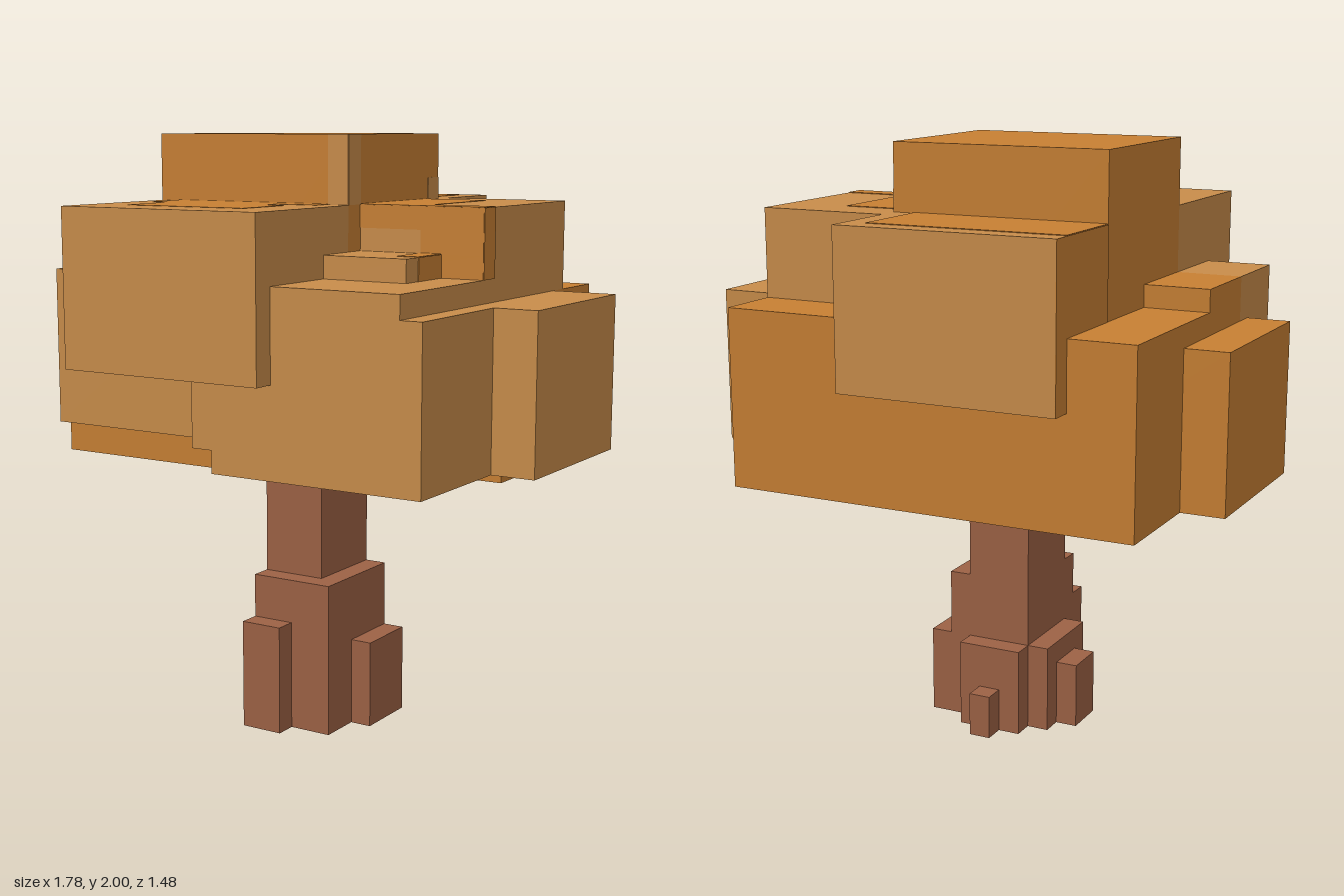
import * as THREE from 'three';

const U = 2 / 27; // one grid block

export function createModel() {
  const mat = (name, color) => {
    const m = new THREE.MeshStandardMaterial({ color });
    m.name = name;
    return m;
  };
  const light = mat('light foliage', 0xc98d4a);
  const dark = mat('dark foliage', 0xc88033);
  const bark = mat('bark', 0x9d6245);

  const tree = new THREE.Group();
  tree.name = 'tree';
  const section = (name) => {
    const g = new THREE.Group();
    g.name = name;
    tree.add(g);
    return g;
  };
  // Block given by its extents in grid units
  const block = (parent, name, material, [x0, x1], [y0, y1], [z0, z1]) => {
    const geo = new THREE.BoxGeometry((x1 - x0) * U, (y1 - y0) * U, (z1 - z0) * U);
    const mesh = new THREE.Mesh(geo, material);
    mesh.name = name;
    mesh.position.set((x0 + x1) / 2 * U, (y0 + y1) / 2 * U, (z0 + z1) / 2 * U);
    parent.add(mesh);
  };
  // Thin painted plate: a single number marks the axis it lies across
  const T = 0.03;
  const patch = (name, material, ...ranges) => {
    const r = ranges.map((v) => (Array.isArray(v) ? v : [v - T, v + T]));
    block(patches, name, material, ...r);
  };

  // Trunk and root flares
  const trunk = section('trunk');
  block(trunk, 'upperTrunk', bark, [-2, 1], [6, 15], [-2, 2]);
  block(trunk, 'lowerTrunk', bark, [-2, 2], [0, 7], [-2, 3]);
  block(trunk, 'frontRoot', bark, [-2, 0], [0, 5], [3, 4]);
  block(trunk, 'leftRoot', bark, [2, 3], [0, 4], [-2, 1]);
  block(trunk, 'backRoot', bark, [-2, 1], [0, 4], [-3, -2]);
  block(trunk, 'backRootTip', bark, [-1, 0], [0, 2], [-4, -3]);
  block(trunk, 'rightRoot', bark, [-3, -2], [0, 4], [-2, 2]);
  block(trunk, 'rightRootTip', bark, [-4, -3], [0, 3], [-1, 1]);

  // Dark leaf masses
  const crown = section('crown');
  block(crown, 'crownTop', dark, [-7, 3], [15, 27], [-5, 3]);
  block(crown, 'backMass', dark, [-10, 9], [12, 20], [-9, -1]);
  block(crown, 'backMassNub', dark, [7, 9], [12, 19], [-1, 0]);
  block(crown, 'backMassSmallNub', dark, [4, 5], [12, 19], [-1, 0]);
  block(crown, 'rightMass', dark, [-12, -2], [12, 19], [-4, 4]);
  block(crown, 'frontRightInner', dark, [-10, -1], [14, 21], [-1, 3]);

  // Light leaf masses
  block(crown, 'frontRightOuter', light, [-10, -1], [14, 21], [3, 7]);
  block(crown, 'frontMass', light, [-7, 3], [17, 24], [3, 10]);
  block(crown, 'rearUpperMass', light, [-7, 3], [17, 24], [-10, -5]);
  block(crown, 'leftUpperMass', light, [3, 9], [20, 24], [-6, 2]);
  block(crown, 'frontLeftUpper', light, [-1, 9], [14, 21], [1, 9]);
  block(crown, 'frontLeftLower', light, [0, 10], [13, 20], [0, 9]);
  block(crown, 'leftMass', light, [9, 12], [13, 20], [-5, 3]);
  block(crown, 'smallTuft', light, [3, 7], [21, 22], [2, 5]);

  // Painted leaf patches
  const patches = section('leafPatches');
  patch('frontTopPatch', dark, [-6, 2], 24, [3, 4]);
  patch('frontTopPatch', dark, [-6, 0], 24, [4, 5]);
  patch('frontTopPatch', dark, [-5, 1], 24, [5, 8]);
  patch('rearTopPatch', dark, [-7, 2], 24, [-9, -5]);
  patch('rearSidePatch', dark, -7, [17, 24], [-10, -5]);
  patch('leftTopPatch', dark, [3, 6], 24, [-4, 1]);
  patch('leftTopEdge', dark, [3, 9], 24, [1, 2]);
  patch('leftSideEdge', dark, 9, [21, 24], [1, 2]);
  patch('leftFrontPatch', dark, [3, 9], [23, 24], 2);
  patch('leftFrontPatch', dark, [6, 9], [22, 23], 2);
  patch('leftFrontPatch', dark, [3, 9], [21, 22], 2);
  patch('tuftTopPatch', dark, [6, 7], 22, [2, 4]);
  patch('tuftSidePatch', dark, 7, [21, 22], [2, 4]);
  patch('topFrontEdge', light, [2, 3], [24, 27], 3);
  patch('topSideEdge', light, 3, [24, 27], [2, 3]);
  patch('topSideCorner', light, 3, [24, 25], [-5, -4]);

  return tree;
}
